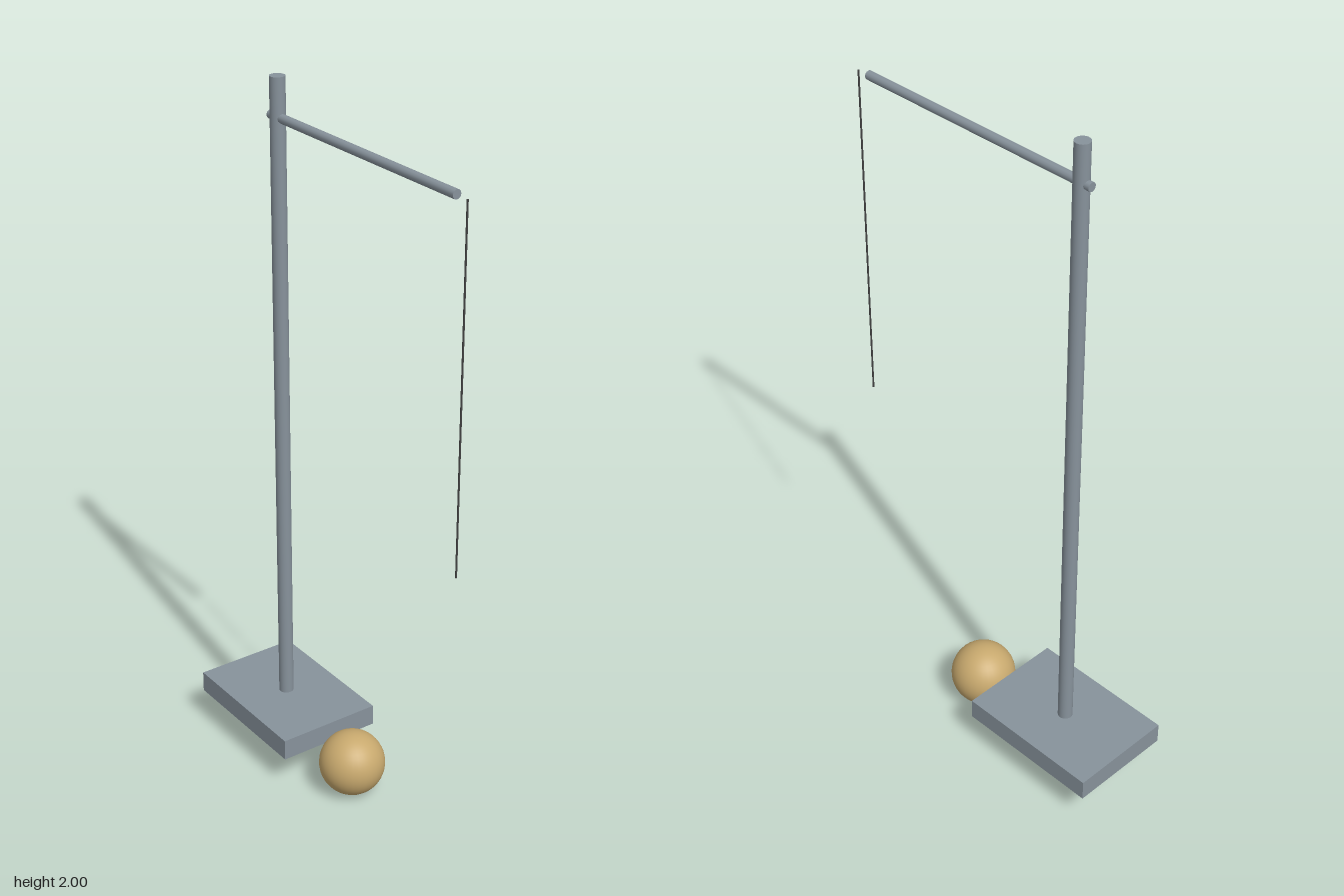
import * as THREE from 'three';

export function createModel() {
  const model = new THREE.Group();
  model.name = 'pendulumStand';

  const material = (name, color) => {
    const m = new THREE.MeshStandardMaterial({ color });
    m.name = name;
    return m;
  };
  const steel = material('steel grey', 0x87929b);
  const wood = material('tan wood', 0xc8a96e);
  const cord = material('dark cord', 0x444444);

  const add = (name, geometry, mat, x, y, z = 0) => {
    const mesh = new THREE.Mesh(geometry, mat);
    mesh.name = name;
    mesh.position.set(x, y, z);
    model.add(mesh);
    return mesh;
  };

  // Flat base plate
  add('base', new THREE.BoxGeometry(0.436, 0.062, 0.308), steel, -0.277, 0.131);

  // Upright post, from the base to the top
  add('post', new THREE.CylinderGeometry(0.021, 0.021, 1.86, 24), steel, -0.279, 1.07);

  // Horizontal arm passing through the post
  const arm = add('arm', new THREE.CylinderGeometry(0.0125, 0.0125, 0.765, 12), steel, 0.07, 1.892);
  arm.rotation.z = Math.PI / 2;

  // Thin hanging string just beyond the arm's end
  add('string', new THREE.CylinderGeometry(0.0025, 0.0025, 0.987, 8), cord, 0.491, 1.398);

  // Ball resting beside the base
  add('ball', new THREE.SphereGeometry(0.094, 32, 24), wood, 0.052, 0.098);

  // Seat the ball exactly on the ground
  model.getObjectByName('ball').position.y = 0.094;

  return model;
}
